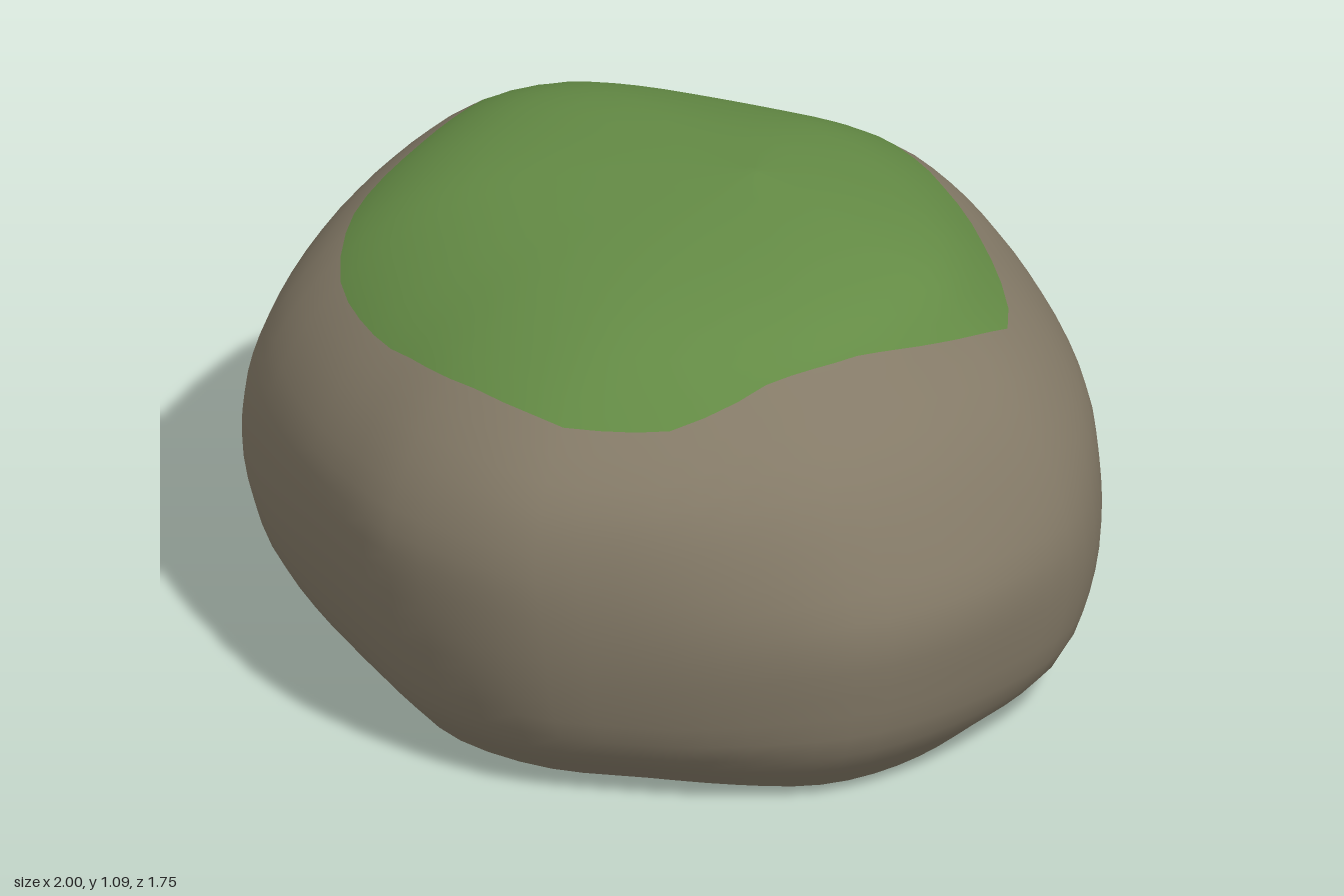
import * as THREE from 'three';

const COLS = 66, ROCK_ROWS = 18, MOSS_ROWS = 10;

// Plan outline at the widest height, [x, z]
const outline = new THREE.CatmullRomCurve3([
  [1, -0.02], [0.97, 0.22], [0.85, 0.42], [0.68, 0.61], [0.47, 0.79], [0.18, 0.87], [-0.1, 0.83],
  [-0.38, 0.755], [-0.64, 0.64], [-0.81, 0.45], [-0.93, 0.22], [-1, -0.01], [-0.96, -0.26],
  [-0.82, -0.48], [-0.62, -0.65], [-0.38, -0.78], [-0.11, -0.875], [0.17, -0.865], [0.45, -0.775],
  [0.68, -0.65], [0.87, -0.46], [0.96, -0.25],
].map(([x, z]) => new THREE.Vector3(x, 0, z)), true);

// Extents at each height: [y, x low, x high, z low, z high]
const levels = [
  [0, -0.76, 0.82, -0.65, 0.68], [0.12, -0.88, 0.935, -0.74, 0.78], [0.27, -0.97, 0.98, -0.83, 0.84],
  [0.43, -1, 1, -0.87, 0.87], [0.58, -0.94, 0.95, -0.86, 0.865], [0.73, -0.87, 0.87, -0.79, 0.79],
  [0.87, -0.77, 0.75, -0.69, 0.65], [0.98, -0.62, 0.64, -0.54, 0.46], [1.045, -0.4, 0.45, -0.37, 0.22],
  [1.085, 0.12, 0.12, -0.15, -0.15],
];
const xProfile = new THREE.CatmullRomCurve3(levels.map(l => new THREE.Vector3(l[1], l[0], l[2])));
const zProfile = new THREE.CatmullRomCurve3(levels.map(l => new THREE.Vector3(l[3], l[0], l[4])));

// Swelling of each diagonal corner at the same heights
const corners = {
  frontLeft: [-0.05, -0.01, 0, 0, 0.02, 0.06, 0.08, 0.09, 0.08, 0],
  frontRight: [0, 0.03, 0.02, 0, 0, 0, 0, 0, 0, 0],
  backRight: [0, 0, 0, 0, 0, -0.01, -0.04, -0.08, -0.12, 0],
  backLeft: [0.01, 0.05, 0.03, 0, 0, -0.01, -0.02, 0, 0, 0],
};
for (const name in corners) {
  corners[name] = new THREE.SplineCurve(corners[name].map((d, i) => new THREE.Vector2(i, d)));
}

// Radius of the moss edge in plan, every 18 degrees from +x towards +z
const mossRadii = [0.69, 0.69, 0.745, 0.75, 0.695, 0.665, 0.67, 0.69, 0.68, 0.645,
  0.67, 0.755, 0.72, 0.67, 0.655, 0.63, 0.63, 0.68, 0.77, 0.725];

function mossRadius(x, z) {
  const n = mossRadii.length;
  const a = ((Math.atan2(z, x) / (2 * Math.PI) + 1) % 1) * n;
  const i = Math.floor(a) % n;
  return THREE.MathUtils.lerp(mossRadii[i], mossRadii[(i + 1) % n], a - Math.floor(a));
}

// Point on the boulder: u runs round, t runs from base (0) to top (1)
function surface(u, t) {
  const o = outline.getPoint(u), a = xProfile.getPoint(t), b = zProfile.getPoint(t);
  const corner = corners[(o.z > 0 ? 'front' : 'back') + (o.x > 0 ? 'Left' : 'Right')];
  const diagonal = Math.sin(2 * Math.atan2(o.z, o.x)) ** 2;
  const swell = 1 + corner.getPoint(t).y * diagonal;
  return new THREE.Vector3(
    (a.x + a.z) / 2 + swell * o.x * (a.z - a.x) / 2,
    t === 0 ? 0 : a.y,
    (b.x + b.z) / 2 + swell * (o.z / 0.873) * (b.z - b.x) / 2);
}

// Height parameter at which a column crosses the moss edge
function mossEdge(u) {
  let lo = 0.4, hi = 1;
  for (let k = 0; k < 24; k++) {
    const mid = (lo + hi) / 2, p = surface(u, mid);
    if (Math.hypot(p.x, p.z) > mossRadius(p.x, p.z)) lo = mid; else hi = mid;
  }
  return lo;
}

// Triangles for the rows from first to last
function bandIndex(first, last) {
  const index = [];
  for (let r = first; r < last; r++) {
    for (let j = 0; j < COLS; j++) {
      const k = (j + 1) % COLS;
      const a = r * COLS + j, b = r * COLS + k, c = a + COLS, d = b + COLS;
      index.push(a, c, b, b, c, d);
    }
  }
  return index;
}

export function createModel() {
  const group = new THREE.Group();
  group.name = 'mossyBoulder';
  const rock = new THREE.MeshStandardMaterial({ color: 0x857b68 });
  rock.name = 'rock';
  const moss = new THREE.MeshStandardMaterial({ color: 0x648b45 });
  moss.name = 'moss';

  // Shared skin: rock rows end exactly on the moss edge
  const rows = ROCK_ROWS + MOSS_ROWS, positions = [];
  const edges = Array.from({ length: COLS }, (_, j) => mossEdge(j / COLS));
  for (let r = 0; r <= rows; r++) {
    for (let j = 0; j < COLS; j++) {
      const t = r <= ROCK_ROWS
        ? edges[j] * r / ROCK_ROWS
        : THREE.MathUtils.lerp(edges[j], 0.995, (r - ROCK_ROWS) / MOSS_ROWS);
      positions.push(...surface(j / COLS, t).toArray());
    }
  }
  const top = surface(0, 1);
  positions.push(top.x, top.y, top.z);
  const topFan = [];
  for (let j = 0; j < COLS; j++) {
    topFan.push(rows * COLS + j, (rows + 1) * COLS, rows * COLS + (j + 1) % COLS);
  }
  const skin = new THREE.BufferGeometry();
  skin.setAttribute('position', new THREE.Float32BufferAttribute(positions, 3));
  skin.setIndex([...bandIndex(0, rows), ...topFan]);
  skin.computeVertexNormals();

  const addPart = (name, index, material) => {
    const g = new THREE.BufferGeometry();
    g.setAttribute('position', skin.attributes.position);
    g.setAttribute('normal', skin.attributes.normal);
    g.setIndex(index);
    const mesh = new THREE.Mesh(g, material);
    mesh.name = name;
    group.add(mesh);
  };
  addPart('boulderBody', bandIndex(0, ROCK_ROWS), rock);
  addPart('mossCap', [...bandIndex(ROCK_ROWS, rows), ...topFan], moss);

  // Flat underside
  const basePoints = Array.from({ length: COLS }, (_, j) => {
    const p = surface(j / COLS, 0);
    return new THREE.Vector2(p.x, p.z);
  });
  const base = new THREE.Mesh(new THREE.ShapeGeometry(new THREE.Shape(basePoints)).rotateX(Math.PI / 2), rock);
  base.name = 'flatBase';
  group.add(base);
  return group;
}
